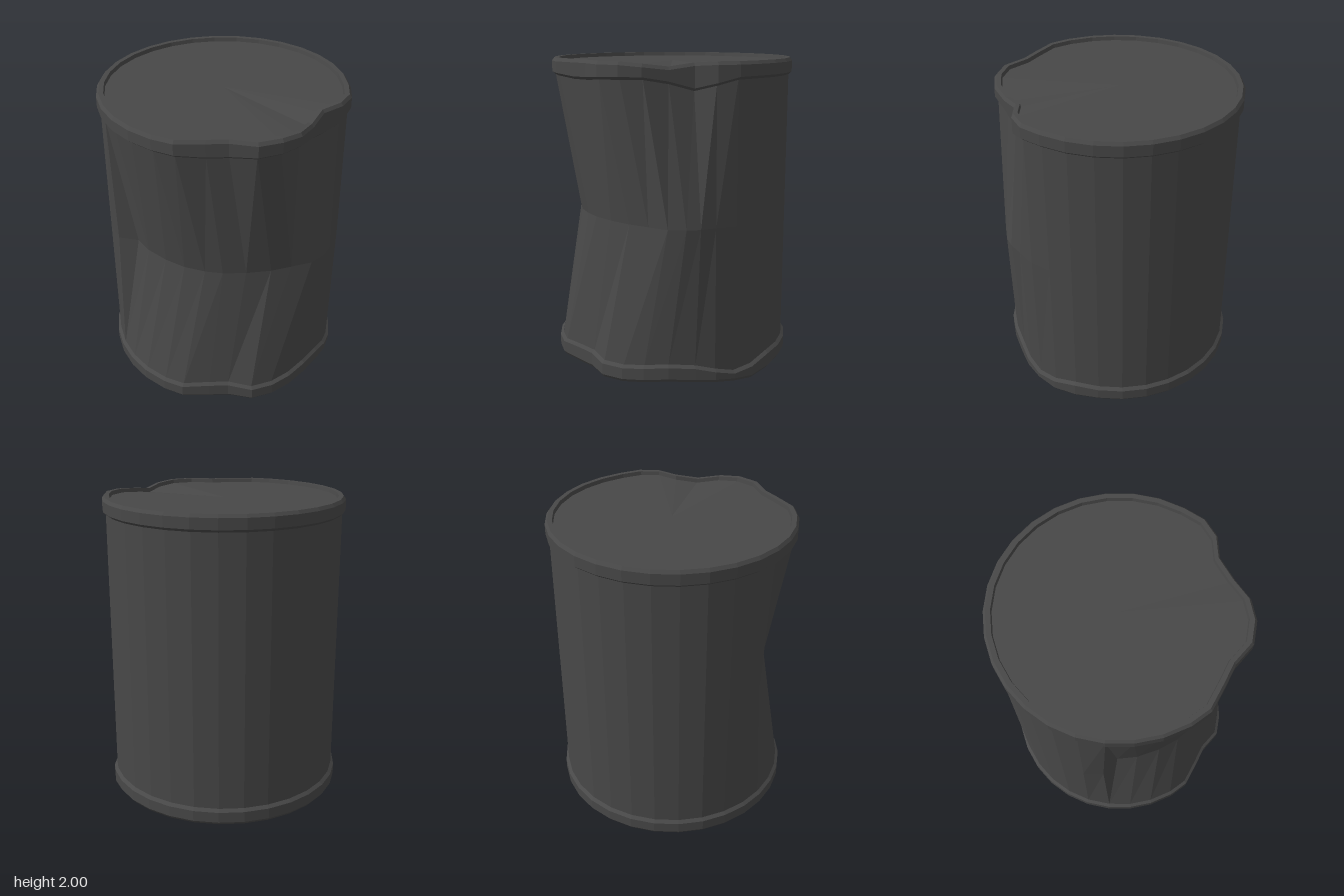
import * as THREE from 'three';

const R = 0.78, WALL = 0.76;

// Dented columns from the front round the left side: rim x, z, then mid-wall x, z
const DENT = [
  [-0.16, 0.763, -0.18, 0.71],
  [-0.16, 0.763, -0.08, 0.62],
  [0, 0.78, 0.05, 0.62],
  [0.16, 0.765, 0.20, 0.585],
  [0.32, 0.715, 0.33, 0.53],
  [0.44, 0.645, 0.44, 0.45],
  [0.54, 0.50, 0.52, 0.37],
  [0.61, 0.39, 0.60, 0.25],
  [0.73, 0.28, 0.67, 0.11],
  [0.77, 0.14, 0.71, -0.02],
  [0.76, 0, 0.75, -0.15],
  [0.69, -0.14, 0.735, -0.26],
  [0.62, -0.28, 0.70, -0.34],
  [0.625, -0.42, 0.64, -0.42],
  [0.57, -0.54, 0.56, -0.53]
];

const columns = DENT.map(([x, z, mx, mz]) => {
  const deg = THREE.MathUtils.radToDeg(Math.atan2(x, z));
  // The notch past the left side is deep in the top rim, shallow in the bottom one
  const r = Math.hypot(x, z);
  const s = deg > 85 ? THREE.MathUtils.lerp(r, R, 0.8) / r : 1;
  return { deg, top: [x, z], low: [x * s, z * s], mid: [mx, mz] };
});

// The undamaged side is a regular round arc
for (let deg = 144; deg < 348; deg += 12) {
  const a = THREE.MathUtils.degToRad(deg);
  const at = r => [r * Math.sin(a), r * Math.cos(a)];
  columns.push({ deg, top: at(R), low: at(R), mid: at(WALL) });
}

// Vertical buckling of each rim edge, as a sum of pointed waves
const wave = (deg, centre, width) => Math.max(0, 1 - Math.abs(deg - centre) / width);
const buckle = {
  topEdge: d => -0.03 * wave(d, 101, 18),
  topUnder: d => -0.02 * wave(d, 52, 20) - 0.07 * wave(d, 114, 20),
  lowUpper: d => 0.015 * wave(d, 52, 20) + 0.025 * wave(d, 100, 22) - 0.065 * wave(d, 137, 20),
  lowEdge: d => 0.02 * wave(d, 100, 20) - 0.03 * wave(d, 144, 22)
};

// A ring follows the top or bottom outline at a given radius and height
const ring = (outline, radius, y, edge) => columns.map(c => [
  c[outline][0] * radius / R, y + buckle[edge](c.deg), c[outline][1] * radius / R]);
const centre = y => columns.map(() => [0, y, 0]);

// Joins consecutive rings with faces turned outward
function loft(rings) {
  const n = columns.length;
  const index = [];
  for (let j = 0; j < rings.length - 1; j++) {
    for (let i = 0; i < n; i++) {
      const a = j * n + i, b = j * n + (i + 1) % n;
      index.push(a, b, b + n, a, b + n, a + n);
    }
  }
  const indexed = new THREE.BufferGeometry();
  indexed.setAttribute('position', new THREE.Float32BufferAttribute(rings.flat(2), 3));
  indexed.setIndex(index);
  const geometry = indexed.toNonIndexed();
  geometry.computeVertexNormals();
  return geometry;
}

export function createModel() {
  const group = new THREE.Group();
  group.name = 'dentedDrum';
  const metal = new THREE.MeshStandardMaterial({ color: 0x484848, flatShading: true });
  metal.name = 'dark grey metal';
  const add = (name, rings) => {
    const mesh = new THREE.Mesh(loft(rings), metal);
    mesh.name = name;
    group.add(mesh);
  };

  // Crumpled side wall, creased at mid height
  add('body', [
    ring('low', WALL, 0.13, 'lowUpper'),
    columns.map(c => [c.mid[0], 1.02, c.mid[1]]),
    ring('top', WALL, 1.905, 'topUnder')
  ]);

  // Rolled rims
  add('bottomRim', [
    ring('low', 0.73, 0.055, 'lowEdge'),
    ring('low', 0.735, 0.03, 'lowEdge'),
    ring('low', 0.765, 0.03, 'lowEdge'),
    ring('low', R, 0.05, 'lowEdge'),
    ring('low', R, 0.12, 'lowUpper'),
    ring('low', WALL, 0.138, 'lowUpper')
  ]);
  add('topRim', [
    ring('top', WALL, 1.895, 'topUnder'),
    ring('top', R, 1.912, 'topUnder'),
    ring('top', R, 1.98, 'topEdge'),
    ring('top', 0.765, 2, 'topEdge'),
    ring('top', 0.735, 2, 'topEdge'),
    ring('top', 0.73, 1.975, 'topEdge')
  ]);

  // Recessed end plates
  add('base', [centre(0.055), ring('low', 0.73, 0.055, 'lowEdge')]);
  add('lid', [ring('top', 0.73, 1.975, 'topEdge'), centre(1.975)]);
  return group;
}
